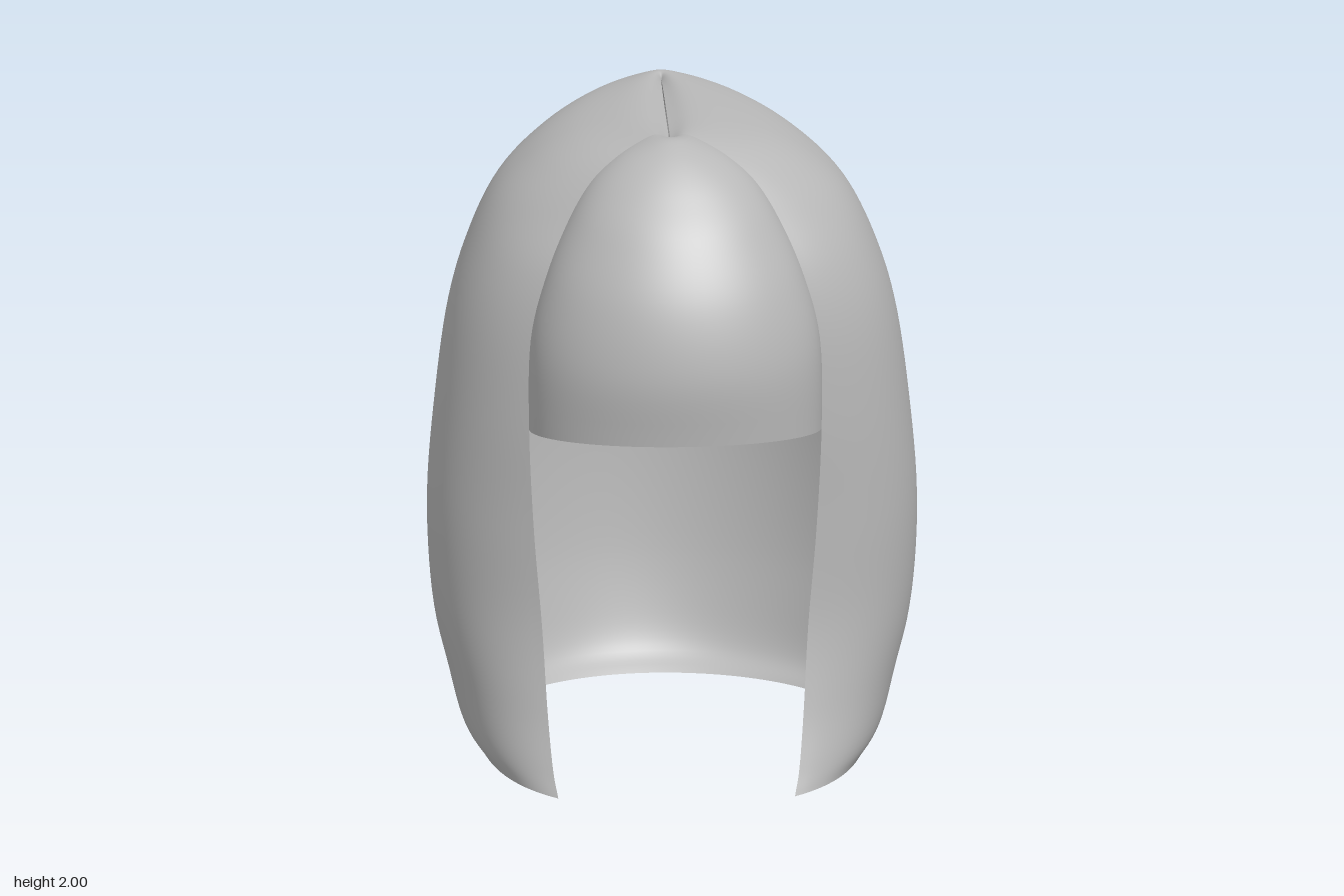
import * as THREE from 'three';

// Shell rows, bottom to parting: height, half width, front edge x, front edge z, back z
const ROWS = [
  [0, 0.59, 0.36, 0.65, -0.65],
  [0.08, 0.64, 0.375, 0.61, -0.72],
  [0.25, 0.68, 0.39, 0.55, -0.765],
  [0.5, 0.73, 0.405, 0.5, -0.8],
  [0.8, 0.745, 0.43, 0.49, -0.82],
  [1.12, 0.72, 0.445, 0.495, -0.82],
  [1.4, 0.68, 0.44, 0.49, -0.81],
  [1.6, 0.62, 0.39, 0.475, -0.79],
  [1.76, 0.54, 0.32, 0.43, -0.75],
  [1.87, 0.43, 0.25, 0.395, -0.685],
  [1.94, 0.31, 0.17, 0.365, -0.61],
  [1.98, 0.17, 0.09, 0.32, -0.52],
  [1.99, 0.07, 0.04, 0.285, -0.47],
  [1.97, 0.002, 0.002, 0.27, -0.44],
];
// Fringe centre line, lower edge to parting: height, z
const FRINGE = [
  [1.145, 0.815], [1.35, 0.83], [1.56, 0.79], [1.74, 0.7], [1.86, 0.6],
  [1.94, 0.51], [1.985, 0.43], [1.998, 0.36], [1.975, 0.27],
];
const FRINGE_START = 5 / (ROWS.length - 1);

const spline = (points) => new THREE.CatmullRomCurve3(
  points.map((p) => new THREE.Vector3(...p)), false, 'catmullrom', 0.5);

const sideCurve = spline(ROWS.map(([y, w, , , back]) => [w, y, back]));
const edgeCurve = spline(ROWS.map(([y, , ex, ez]) => [ex, y, ez]));
const fringeCurve = spline(FRINGE.map(([y, z]) => [0, y, z]));

// Surface from a grid of points; u runs to the right seen from outside, v runs up
function loft(nu, nv, pointAt) {
  const positions = [];
  const index = [];
  for (let j = 0; j <= nv; j++) {
    for (let i = 0; i <= nu; i++) {
      const [x, y, z] = pointAt(i / nu, j / nv);
      // the parting sits slightly off centre
      positions.push(x - 0.015 * Math.max(0, 1 - Math.abs(x) / 0.745), y, z);
      if (i < nu && j < nv) {
        const a = j * (nu + 1) + i;
        const d = a + nu + 1;
        index.push(a, a + 1, d, a + 1, d + 1, d);
      }
    }
  }
  const geometry = new THREE.BufferGeometry();
  geometry.setAttribute('position', new THREE.Float32BufferAttribute(positions, 3));
  geometry.setIndex(index);
  geometry.computeVertexNormals();
  return geometry;
}

// C-shaped section: front lock, round the back, other front lock
function shellPoint(u, v) {
  const side = sideCurve.getPoint(v);
  const edge = edgeCurve.getPoint(v);
  const sign = u <= 0.5 ? 1 : -1;
  const s = 1 - Math.abs(2 * u - 1); // 0 at the front edge, 1 at the back
  const w = side.x;
  const midZ = 0.05;
  const fade = Math.max(0, 1 - side.y / 0.4);
  let x, z, lift;
  if (s < 0.4) {
    const t = s / 0.4;
    const a = (1 - t) ** 2, b = 2 * t * (1 - t), c = t * t;
    x = a * edge.x + (b + c) * w;
    z = a * edge.z + b * (edge.z - 0.12) + c * midZ;
    lift = 0.06 * t;
  } else {
    const angle = ((s - 0.4) / 0.6) * Math.PI / 2;
    x = w * Math.cos(angle);
    z = midZ + (side.z - midZ) * Math.sin(angle);
    lift = 0.06 - 0.01 * Math.sin(angle);
  }
  return [sign * x, side.y + lift * fade, z];
}

// Rounded section bulging forward between the two front edges
function fringePoint(u, v) {
  const edge = edgeCurve.getPoint(FRINGE_START + v * (1 - FRINGE_START));
  const centre = fringeCurve.getPoint(v);
  const angle = (u - 0.5) * Math.PI;
  const bulge = Math.cos(angle);
  return [
    edge.x * Math.sin(angle),
    edge.y + (centre.y - edge.y) * bulge,
    edge.z + (centre.z - edge.z) * bulge,
  ];
}

export function createModel() {
  const group = new THREE.Group();
  group.name = 'hair';
  const grey = new THREE.MeshStandardMaterial({ color: 0xb8b8b8, side: THREE.DoubleSide });
  grey.name = 'hair grey';

  const shell = new THREE.Mesh(loft(100, 78, shellPoint), grey);
  shell.name = 'longHair';
  const fringe = new THREE.Mesh(loft(40, 48, fringePoint), grey);
  fringe.name = 'fringe';
  group.add(shell, fringe);
  return group;
}
